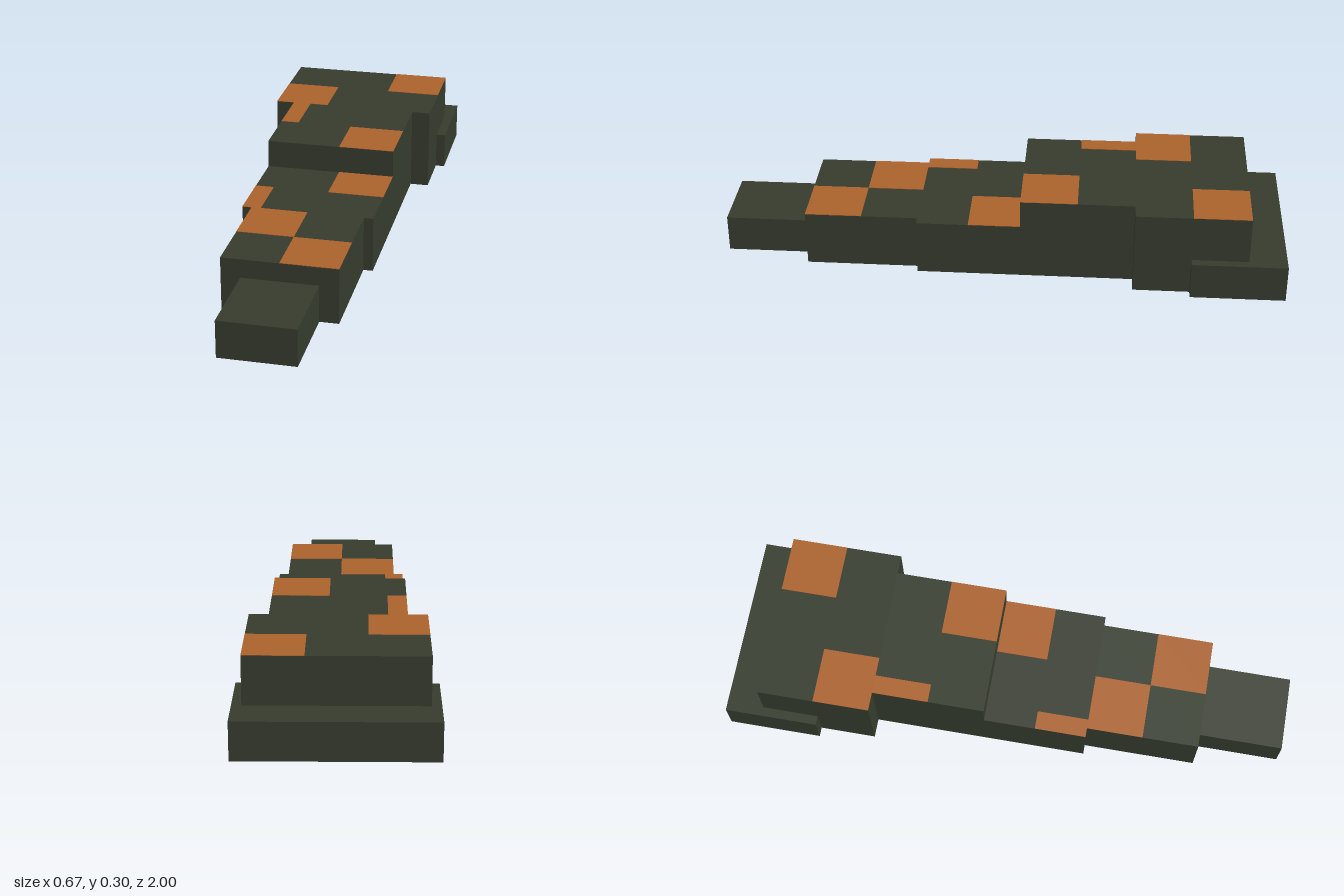
import * as THREE from 'three';

export function createModel() {
  const model = new THREE.Group();
  model.name = 'steppedHull';

  const darkOlive = new THREE.MeshStandardMaterial({ color: 0x363c2e });
  darkOlive.name = 'dark olive';
  const rust = new THREE.MeshStandardMaterial({ color: 0xab622c });
  rust.name = 'rust orange';

  // Box given by its extents on x and z, and its bottom and top heights
  function addBox(name, material, x0, x1, y0, y1, z0, z1) {
    const mesh = new THREE.Mesh(new THREE.BoxGeometry(x1 - x0, y1 - y0, z1 - z0), material);
    mesh.position.set((x0 + x1) / 2, (y0 + y1) / 2, (z0 + z1) / 2);
    mesh.name = name;
    model.add(mesh);
  }

  // Hull blocks standing on the ground: name, half width, height, back z, front z
  const blocks = [
    ['nose', 0.133, 0.133, 0.7, 1],
    ['foreBody', 0.2, 0.2, 0.3, 0.7],
    ['midBody', 0.233, 0.2, -0.067, 0.3],
    ['upperBody', 0.233, 0.3, -0.467, -0.067],
    ['rearBody', 0.3, 0.3, -0.867, -0.467],
    ['tailPlate', 0.333, 0.133, -1, -0.667],
  ];
  for (const [name, half, height, z0, z1] of blocks) {
    addBox(name, darkOlive, -half, half, 0, height, z0, z1);
  }

  // Painted patches on the upper faces: x0, x1, z0, z1, deck height
  const patches = [
    [0.1, 0.3, -0.867, -0.667, 0.3],
    [-0.3, -0.1, -0.667, -0.467, 0.3],
    [-0.233, -0.167, -0.467, -0.267, 0.3],
    [0.033, 0.233, -0.267, -0.067, 0.3],
    [0.033, 0.233, -0.067, 0.117, 0.2],
    [-0.233, -0.167, 0.117, 0.3, 0.2],
    [-0.2, 0, 0.3, 0.5, 0.2],
    [0, 0.2, 0.5, 0.7, 0.2],
  ];
  patches.forEach(([x0, x1, z0, z1, y], i) => {
    addBox(`deckPatch${i + 1}`, rust, x0, x1, y - 0.0005, y + 0.0015, z0, z1);
  });

  return model;
}
